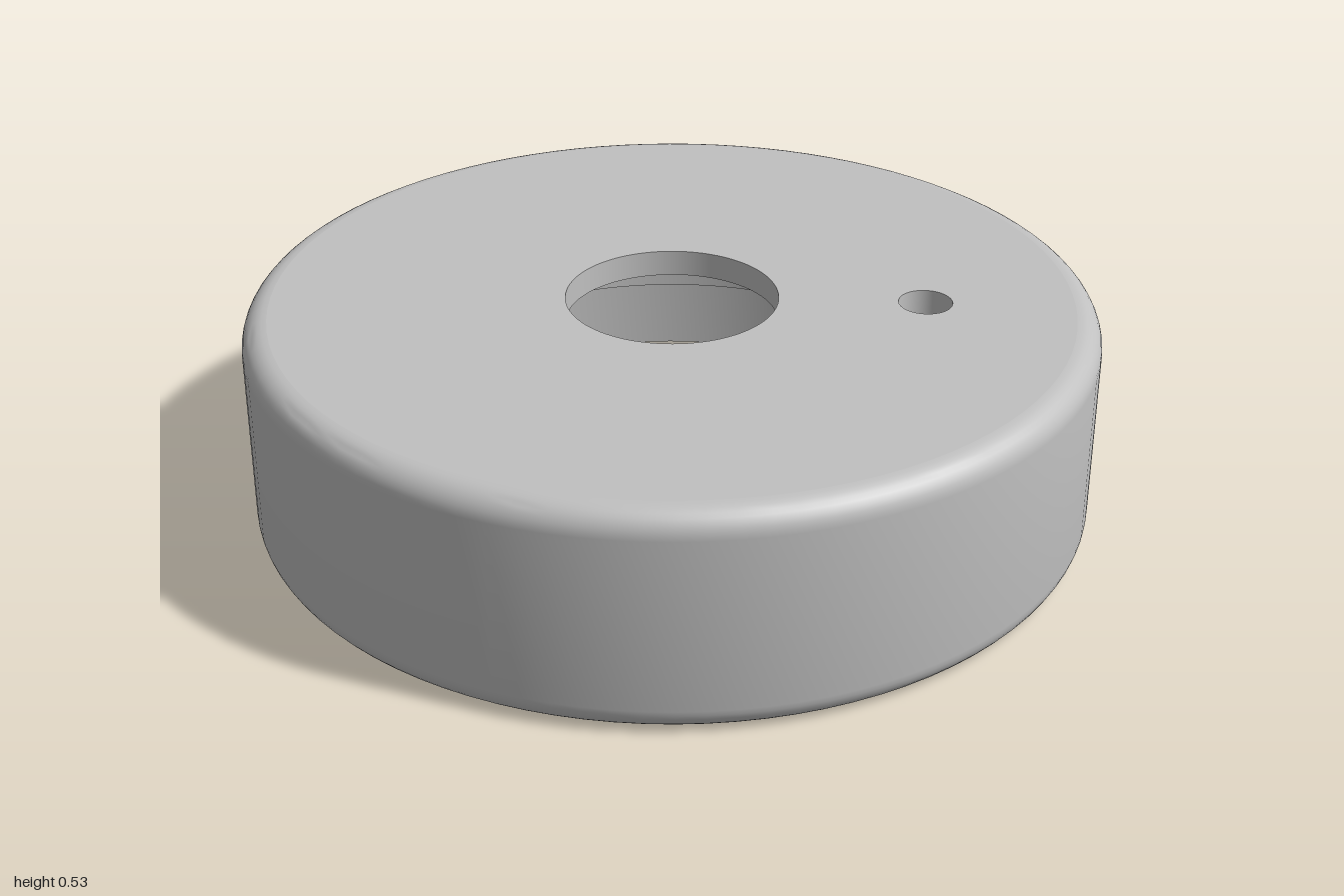
import * as THREE from 'three';
import { toCreasedNormals } from 'three/addons/utils/BufferGeometryUtils.js';

const SEGMENTS = 96;
const HEIGHT = 0.53;
const CEILING = 0.467; // underside of the thin top plate
const FILLET = 0.06;
const BORE = 0.66;
const HOLES = [
  { name: 'centreHole', x: 0, r: 0.25 },
  { name: 'pinHole', x: 0.592, r: 0.063 },
];

// Disc in the XY plane, pierced by both holes
function piercedDisc(radius) {
  const shape = new THREE.Shape().absarc(0, 0, radius, 0, Math.PI * 2, false);
  for (const h of HOLES) {
    shape.holes.push(new THREE.Path().absarc(h.x, 0, h.r, 0, Math.PI * 2, true));
  }
  return new THREE.ShapeGeometry(shape, SEGMENTS / 2);
}

// Quarter-round in the (radius, height) profile
function fillet(points, cy, start) {
  for (let i = 0; i <= 8; i++) {
    const a = start + (i / 8) * (Math.PI / 2);
    points.push(new THREE.Vector2(1 - FILLET + FILLET * Math.cos(a), cy + FILLET * Math.sin(a)));
  }
}

export function createModel() {
  const group = new THREE.Group();
  const grey = new THREE.MeshStandardMaterial({ color: 0xc0c0c0 });
  grey.name = 'grey';
  const add = (name, geometry) => {
    const mesh = new THREE.Mesh(geometry, grey);
    mesh.name = name;
    group.add(mesh);
    return mesh;
  };

  // Ring: stepped bore inside, rounded rim outside
  const profile = [[BORE, CEILING], [BORE, 0.246], [0.814, 0.246], [0.814, 0]]
    .map(([r, y]) => new THREE.Vector2(r, y));
  fillet(profile, FILLET, -Math.PI / 2);
  fillet(profile, HEIGHT - FILLET, 0);
  add('steppedRing', toCreasedNormals(new THREE.LatheGeometry(profile, SEGMENTS), 0.6));

  // Top plate, upper and lower faces
  add('topFace', piercedDisc(1 - FILLET).rotateX(-Math.PI / 2)).position.y = HEIGHT;
  add('ceilingFace', piercedDisc(BORE).rotateX(Math.PI / 2)).position.y = CEILING;

  // Hole walls, facing inward
  for (const h of HOLES) {
    const wall = [new THREE.Vector2(h.r, HEIGHT), new THREE.Vector2(h.r, CEILING)];
    add(h.name + 'Wall', new THREE.LatheGeometry(wall, SEGMENTS)).position.x = h.x;
  }
  return group;
}
